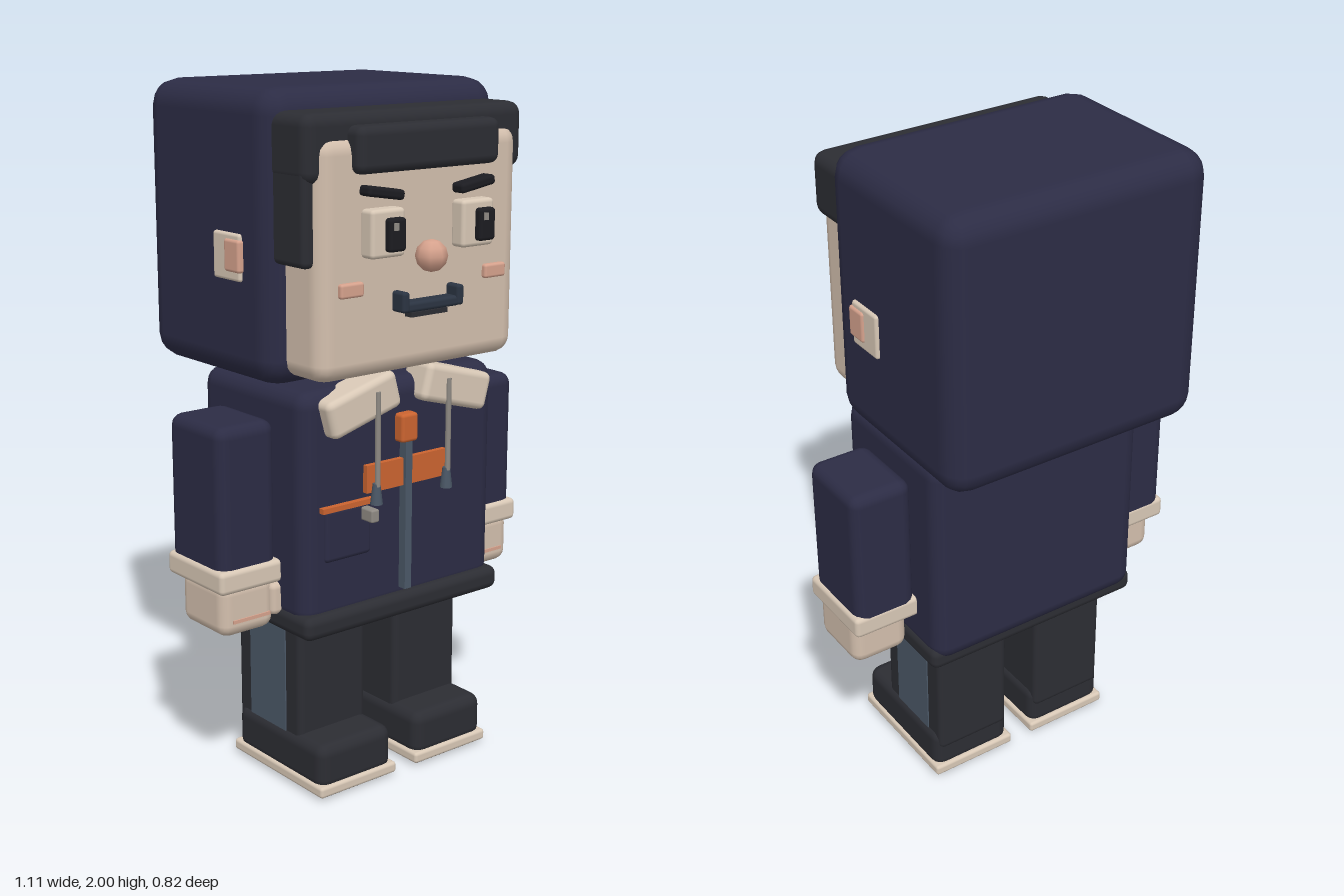
import * as THREE from 'three';
import { RoundedBoxGeometry } from 'three/addons/geometries/RoundedBoxGeometry.js';

const paint = (name, color) => {
  const m = new THREE.MeshStandardMaterial({ color });
  m.name = name;
  return m;
};

export function createModel() {
  const navy = paint('navy cloth', 0x2c2c45);
  const charcoal = paint('charcoal', 0x2c2d33);
  const skin = paint('skin', 0xd3bfad);
  const cream = paint('cream trim', 0xd8c8b6);
  const blush = paint('blush', 0xd6a28d);
  const orange = paint('orange', 0xcb6430);
  const slate = paint('slate', 0x4b5867);
  const grey = paint('cord grey', 0x8f8a84);
  const black = paint('black', 0x1c1c21);
  const ink = paint('mouth ink', 0x2b3442);

  const model = new THREE.Group();
  model.name = 'hoodedFigure';
  const group = (name, parent = model) => {
    const g = new THREE.Group();
    g.name = name;
    parent.add(g);
    return g;
  };
  const add = (parent, name, geometry, material, x, y, z) => {
    const m = new THREE.Mesh(geometry, material);
    m.name = name;
    m.position.set(x, y, z);
    parent.add(m);
    return m;
  };
  // Box given by its extents, optionally with rounded edges
  const box = (parent, name, mat, [x0, x1], [y0, y1], [z0, z1], r = 0) => {
    const w = Math.abs(x1 - x0), h = y1 - y0, d = z1 - z0;
    const geo = r ? new RoundedBoxGeometry(w, h, d, 2, r) : new THREE.BoxGeometry(w, h, d);
    return add(parent, name, geo, mat, (x0 + x1) / 2, (y0 + y1) / 2, (z0 + z1) / 2);
  };

  // Head: hood, face, hair
  const head = group('head');
  box(head, 'hood', navy, [-0.41, 0.41], [1.2, 2], [-0.41, 0.19], 0.075);
  box(head, 'face', skin, [-0.355, 0.355], [1.23, 1.88], [0.1, 0.333], 0.05);
  box(head, 'hair', charcoal, [-0.385, 0.385], [1.755, 1.94], [0.13, 0.315], 0.035);
  box(head, 'fringe', charcoal, [-0.25, 0.25], [1.78, 1.905], [0.28, 0.368], 0.025);
  box(head, 'sideHair', charcoal, [-0.383, -0.34], [1.54, 1.85], [0.15, 0.3], 0.018);

  // Facial features
  add(head, 'nose', new THREE.SphereGeometry(0.045, 8, 6), blush, 0, 1.55, 0.365);
  for (const s of [1, -1]) {
    const ex = s * 0.16;
    box(head, 'eyePlate', cream, [ex - 0.058, ex + 0.058], [1.56, 1.69], [0.325, 0.378], 0.012);
    const px = ex + 0.015;
    box(head, 'pupil', black, [px - 0.029, px + 0.029], [1.577, 1.667], [0.37, 0.4], 0.01);
    box(head, 'eyeGlint', grey, [px - 0.018, px - 0.003], [1.635, 1.655], [0.395, 0.404]);
    const brow = box(head, 'eyebrow', black, [s * 0.1, s * 0.225], [1.716, 1.744], [0.325, 0.375], 0.01);
    brow.rotation.z = s * 0.16;
    box(head, 'cheek', blush, [s * 0.217, s * 0.296], [1.46, 1.5], [0.325, 0.348], 0.008);
    box(head, 'mouthCorner', ink, [s * 0.085, s * 0.11], [1.405, 1.462], [0.325, 0.38], 0.009);
    box(head, 'earPlate', cream, [s * 0.4, s * 0.42], [1.48, 1.61], [-0.06, 0.065], 0.009);
    box(head, 'ear', blush, [s * 0.4, s * 0.427], [1.505, 1.595], [0, 0.07], 0.009);
  }
  box(head, 'mouth', ink, [-0.1, 0.1], [1.403, 1.432], [0.325, 0.375], 0.01);
  box(head, 'lowerLip', charcoal, [-0.065, 0.065], [1.387, 1.4], [0.325, 0.36]);

  // Jacket body
  const jacket = group('jacket');
  box(jacket, 'torso', navy, [-0.355, 0.355], [0.52, 1.195], [-0.23, 0.255], 0.05);
  box(jacket, 'hem', charcoal, [-0.362, 0.362], [0.492, 0.562], [-0.215, 0.28], 0.025);
  box(jacket, 'chestBand', orange, [-0.145, 0.15], [0.885, 0.965], [0.245, 0.272]);
  box(jacket, 'zipper', slate, [-0.012, 0.012], [0.575, 1.03], [0.245, 0.282]);
  box(jacket, 'zipperPull', orange, [-0.03, 0.03], [1.012, 1.095], [0.245, 0.288], 0.01);
  box(jacket, 'pocket', navy, [-0.285, -0.12], [0.705, 0.86], [0.235, 0.265], 0.014);
  box(jacket, 'pocketTrim', orange, [-0.3, -0.11], [0.855, 0.87], [0.245, 0.274]);
  box(jacket, 'pocketPull', grey, [-0.16, -0.132], [0.81, 0.848], [0.25, 0.312], 0.006);

  for (const s of [1, -1]) {
    // Collar flap and drawstring
    const flap = box(jacket, 'collarFlap', cream, [s * 0.045, s * 0.295], [1.092, 1.202], [0.19, 0.3], 0.02);
    flap.rotation.z = -s * 0.27;
    add(jacket, 'drawstring', new THREE.CylinderGeometry(0.008, 0.008, 0.27, 8), grey, s * 0.13, 1.045, 0.3);
    add(jacket, 'drawstringTip', new THREE.CylinderGeometry(0.011, 0.018, 0.06, 8), slate, s * 0.13, 0.888, 0.295);

    // Arm, cuff and hand
    const arm = group(s > 0 ? 'leftArm' : 'rightArm');
    box(arm, 'sleeve', navy, [s * 0.355, s * 0.547], [0.63, 1.107], [-0.116, 0.138], 0.035);
    box(arm, 'cuff', cream, [s * 0.345, s * 0.557], [0.638, 0.705], [-0.118, 0.15], 0.015);
    box(arm, 'hand', skin, [s * 0.362, s * 0.543], [0.503, 0.66], [-0.077, 0.135], 0.035);
    box(arm, 'thumb', skin, [s * 0.338, s * 0.385], [0.54, 0.635], [0.04, 0.148], 0.018);
    box(arm, 'fingerCrease', blush, [s * 0.385, s * 0.51], [0.546, 0.556], [0.125, 0.139]);

    // Leg with side panel, shoe and sole
    const leg = group(s > 0 ? 'leftLeg' : 'rightLeg');
    box(leg, 'trouser', charcoal, [s * 0.055, s * 0.3], [0.1, 0.52], [-0.142, 0.16], 0.02);
    box(leg, 'sidePanel', slate, [s * 0.297, s * 0.304], [0.15, 0.493], [-0.075, 0.095]);
    box(leg, 'shoe', charcoal, [s * 0.045, s * 0.312], [0.02, 0.16], [-0.137, 0.275], 0.035);
    box(leg, 'sole', cream, [s * 0.037, s * 0.318], [0.008, 0.042], [-0.147, 0.283], 0.01);
    box(leg, 'tread', black, [s * 0.055, s * 0.3], [0, 0.02], [-0.128, 0.264]);
  }
  return model;
}
